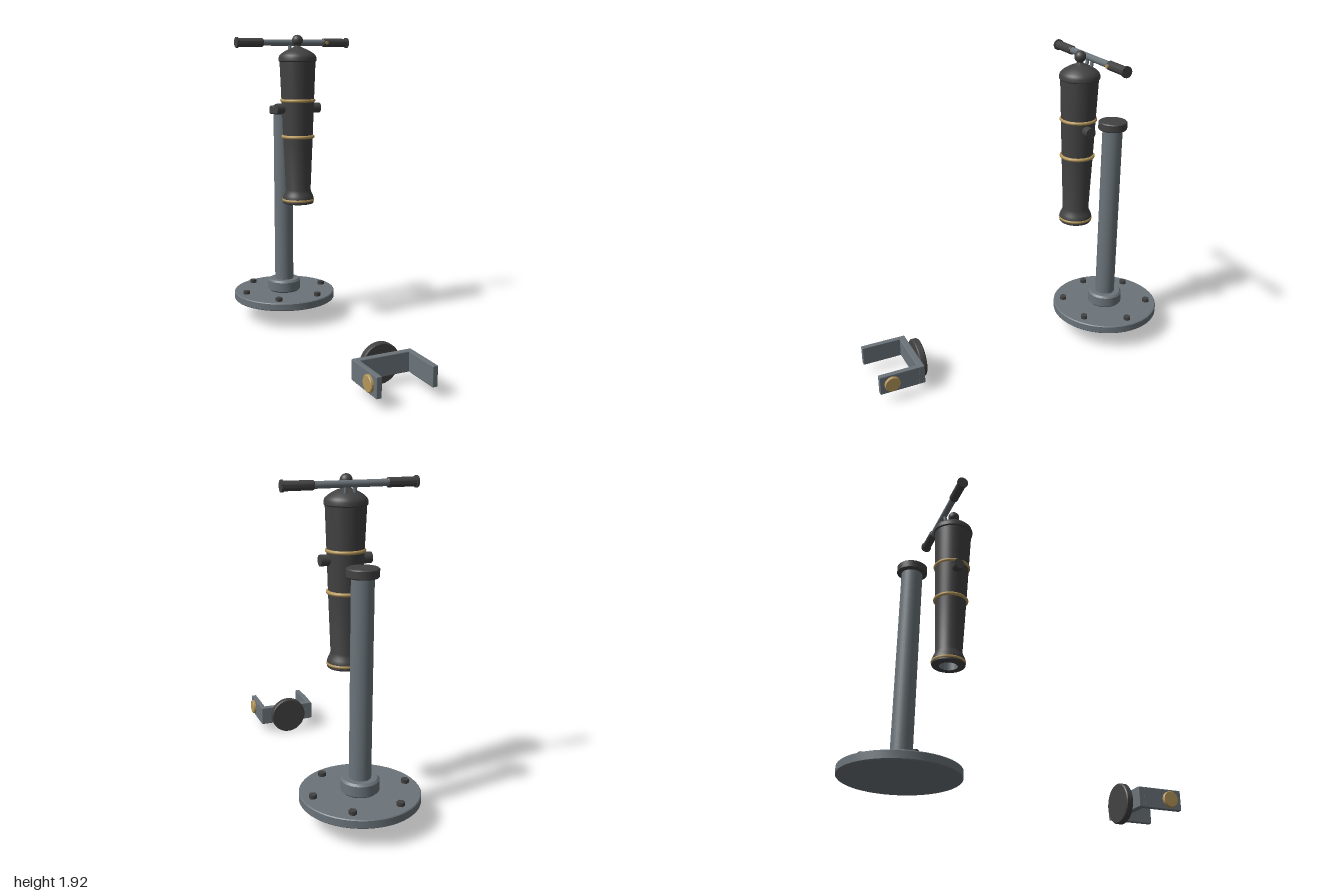
import * as THREE from 'three';
import { RoundedBoxGeometry } from 'three/addons/geometries/RoundedBoxGeometry.js';
import { toCreasedNormals } from 'three/addons/utils/BufferGeometryUtils.js';

const material = (name, color) => {
  const m = new THREE.MeshStandardMaterial({ color });
  m.name = name;
  return m;
};

export function createModel() {
  const steel = material('steel grey', 0x6b747a);
  const iron = material('dark iron', 0x424242);
  const brass = material('brass', 0xb5975a);
  const root = new THREE.Group();
  root.name = 'cannonOnStand';

  const add = (parent, name, geometry, mat, x = 0, y = 0, z = 0) => {
    const mesh = new THREE.Mesh(geometry, mat);
    mesh.name = name;
    mesh.position.set(x, y, z);
    parent.add(mesh);
    return mesh;
  };
  const group = (name, x, y, z) => {
    const g = new THREE.Group();
    g.name = name;
    g.position.set(x, y, z);
    root.add(g);
    return g;
  };
  const lathe = (points, segments = 48) => toCreasedNormals(
    new THREE.LatheGeometry(points.map(p => new THREE.Vector2(...p)), segments), 0.6);
  // disc or rod from y = 0 to h with small bevels
  const bevelled = (r, h, b) => lathe([[0, 0], [r - b, 0], [r, b], [r, h - b], [r - b, h], [0, h]]);
  const rod = (r, h, n = 32) => new THREE.CylinderGeometry(r, r, h, n);

  // Floor stand
  const stand = group('stand', 0, 0, -0.655);
  add(stand, 'basePlate', bevelled(0.345, 0.052, 0.005), steel, 0, 0.125, 0);
  add(stand, 'collar', bevelled(0.11, 0.085, 0.012), steel, 0, 0.175, 0);
  add(stand, 'post', rod(0.063, 1.18), steel, 0, 0.82, 0);
  add(stand, 'postCap', bevelled(0.09, 0.052, 0.006), iron, 0, 1.403, 0);
  for (let i = 0; i < 6; i++) {
    const a = i * Math.PI / 3;
    add(stand, 'bolt', rod(0.023, 0.025, 6), iron, 0.28 * Math.cos(a), 0.187, 0.28 * Math.sin(a));
  }

  // Cannon barrel hanging muzzle down
  const cannon = group('cannon', 0, 0, -0.404);
  add(cannon, 'barrel', lathe([
    [0.056, 0.834], [0.096, 0.834], [0.101, 0.84], [0.101, 0.872], [0.094, 0.89], [0.086, 0.905],
    [0.081, 0.925], [0.096, 1.27], [0.105, 1.5], [0.115, 1.75], [0.122, 1.756], [0.122, 1.775],
    [0.116, 1.79], [0.1, 1.805], [0.075, 1.821], [0.05, 1.833], [0.03, 1.84], [0.018, 1.85],
    [0.018, 1.87], [0, 1.87]]), iron);
  add(cannon, 'bore', lathe([[0, 1.0], [0.056, 1.0], [0.056, 0.834]]), steel);
  add(cannon, 'knob', new THREE.SphereGeometry(0.035, 32, 20), iron, 0, 1.885, 0);
  for (const [r, y] of [[0.094, 0.857], [0.097, 1.272], [0.103, 1.505]]) {
    const ring = add(cannon, 'brassRing', new THREE.TorusGeometry(r, 0.011, 12, 48), brass, 0, y, 0);
    ring.rotation.x = Math.PI / 2;
  }
  const trunnions = add(cannon, 'trunnions', rod(0.032, 0.304), iron, 0, 1.455, 0);
  trunnions.rotation.z = Math.PI / 2;

  // Handlebar behind the knob
  const handle = group('handlebar', 0, 1.871, -0.474);
  add(handle, 'bar', rod(0.02, 0.5), steel).rotation.z = Math.PI / 2;
  for (const s of [-1, 1]) {
    const grip = add(handle, 'grip', lathe([
      [0, 0.208], [0.023, 0.208], [0.027, 0.213], [0.027, 0.376], [0.033, 0.376],
      [0.033, 0.389], [0, 0.389]], 32), iron);
    grip.rotation.z = -s * Math.PI / 2;
    add(handle, 'strut', rod(0.011, 0.08, 16), steel, s * 0.026, -0.035, 0.006).rotation.x = -0.15;
  }
  add(handle, 'triggerButton', rod(0.011, 0.012, 20), brass, 0.228, 0, 0.029).rotation.x = Math.PI / 2;

  // Separate fork bracket
  const fork = group('forkBracket', 0, 0.122, 0);
  add(fork, 'backPlate', new RoundedBoxGeometry(0.372, 0.12, 0.04, 2, 0.005), steel, 0, 0, 0.739);
  add(fork, 'mountDisc', bevelled(0.12, 0.042, 0.006), iron, 0, -0.002, 0.678).rotation.x = Math.PI / 2;
  for (const s of [-1, 1]) {
    add(fork, 'arm', new RoundedBoxGeometry(0.032, 0.12, 0.245, 2, 0.004), steel, s * 0.17, 0, 0.8775);
    const boss = add(fork, 'pivotBoss', bevelled(0.048, 0.024, 0.004), brass, s * 0.179, 0, 0.925);
    boss.rotation.z = -s * Math.PI / 2;
  }
  return root;
}
